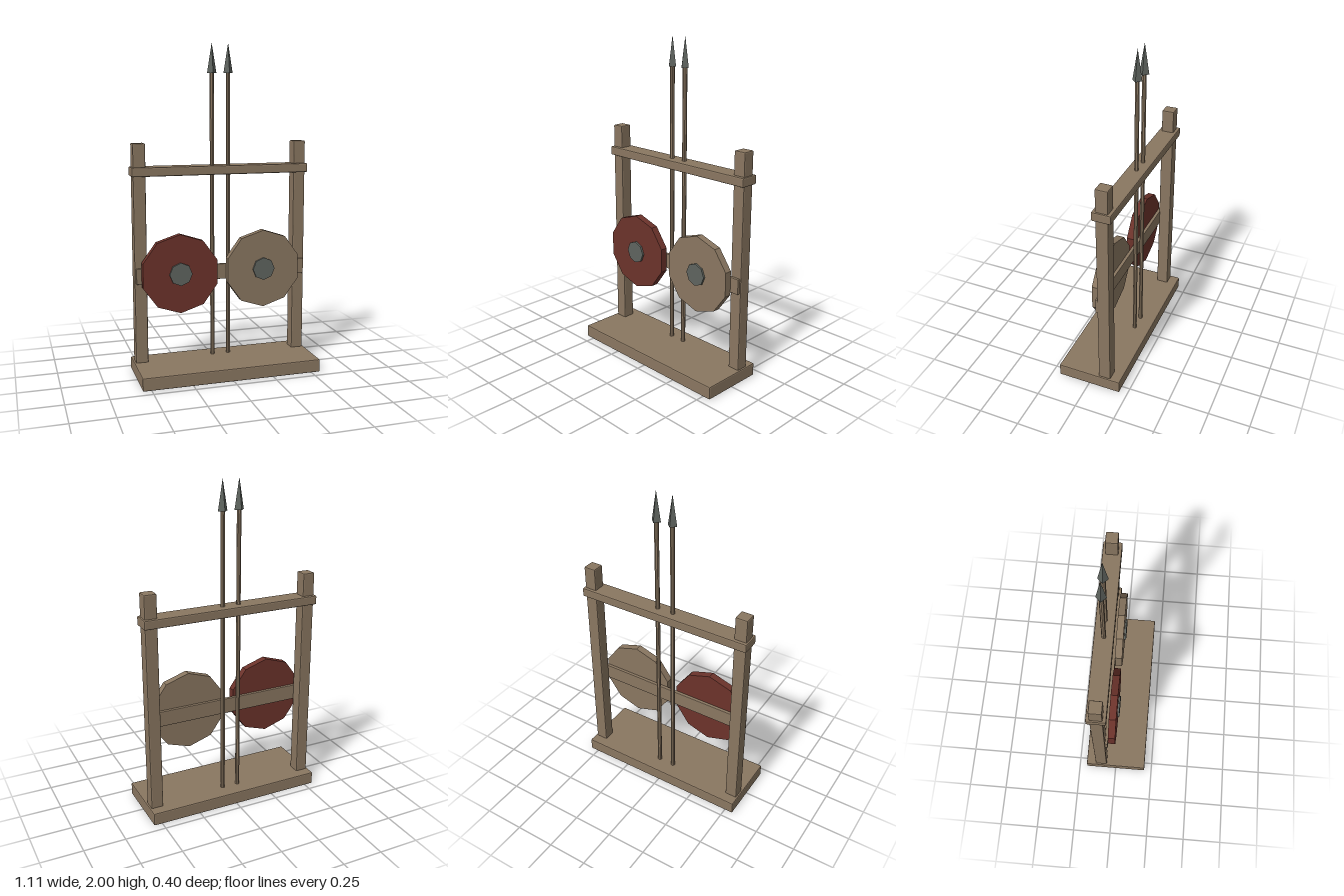
import * as THREE from 'three';
import { RoundedBoxGeometry } from 'three/addons/geometries/RoundedBoxGeometry.js';

export function createModel() {
  const group = new THREE.Group();
  const material = (name, color) => {
    const m = new THREE.MeshStandardMaterial({ color });
    m.name = name;
    return m;
  };
  const wood = material('wood', 0x8a7761);
  const red = material('red paint', 0x6c332b);
  const iron = material('iron', 0x5f645f);

  // Adds a faceted part
  function add(name, geometry, mat, x, y, z) {
    const flat = geometry.index ? geometry.toNonIndexed() : geometry;
    flat.computeVertexNormals();
    const mesh = new THREE.Mesh(flat, mat);
    mesh.name = name;
    mesh.position.set(x, y, z);
    group.add(mesh);
    return mesh;
  }

  // Timber with chamfered edges, given by its extents
  function timber(name, [x0, x1], [y0, y1], [z0, z1], bevel = 0.007) {
    const geo = new RoundedBoxGeometry(x1 - x0, y1 - y0, z1 - z0, 1, bevel);
    add(name, geo, wood, (x0 + x1) / 2, (y0 + y1) / 2, (z0 + z1) / 2);
  }

  // Disc facing front, with a corner at the top
  function disc(name, radius, sides, z0, z1, mat, x, y) {
    const geo = new THREE.CylinderGeometry(radius, radius, z1 - z0, sides);
    geo.rotateX(Math.PI / 2);
    add(name, geo, mat, x, y, (z0 + z1) / 2);
  }

  // Frame
  timber('base', [-0.553, 0.553], [0, 0.08], [-0.2, 0.2]);
  timber('topRail', [-0.553, 0.553], [1.217, 1.272], [-0.157, -0.042]);
  timber('shieldBar', [-0.535, 0.535], [0.572, 0.667], [-0.067, -0.046], 0.004);
  for (const side of [-1, 1]) {
    const x = side * 0.505;
    timber(side > 0 ? 'leftPost' : 'rightPost', [x - 0.038, x + 0.038], [0.075, 1.412], [-0.138, -0.062]);
  }

  // Spears
  for (const side of [-1, 1]) {
    const label = side > 0 ? 'left' : 'right';
    add(label + 'SpearShaft', new THREE.CylinderGeometry(0.0135, 0.0135, 1.75, 8), wood, side * 0.051, 0.95, -0.1);
    add(label + 'SpearHead', new THREE.ConeGeometry(0.029, 0.178, 4), iron, side * 0.051, 1.911, -0.1);
  }

  // Shields with iron bosses
  for (const [label, x, mat] of [['right', -0.275, red], ['left', 0.25, wood]]) {
    disc(label + 'Shield', 0.241, 10, -0.047, -0.002, mat, x, 0.63);
    disc(label + 'ShieldBoss', 0.07, 8, -0.01, 0.01, iron, x, 0.63);
  }

  return group;
}
